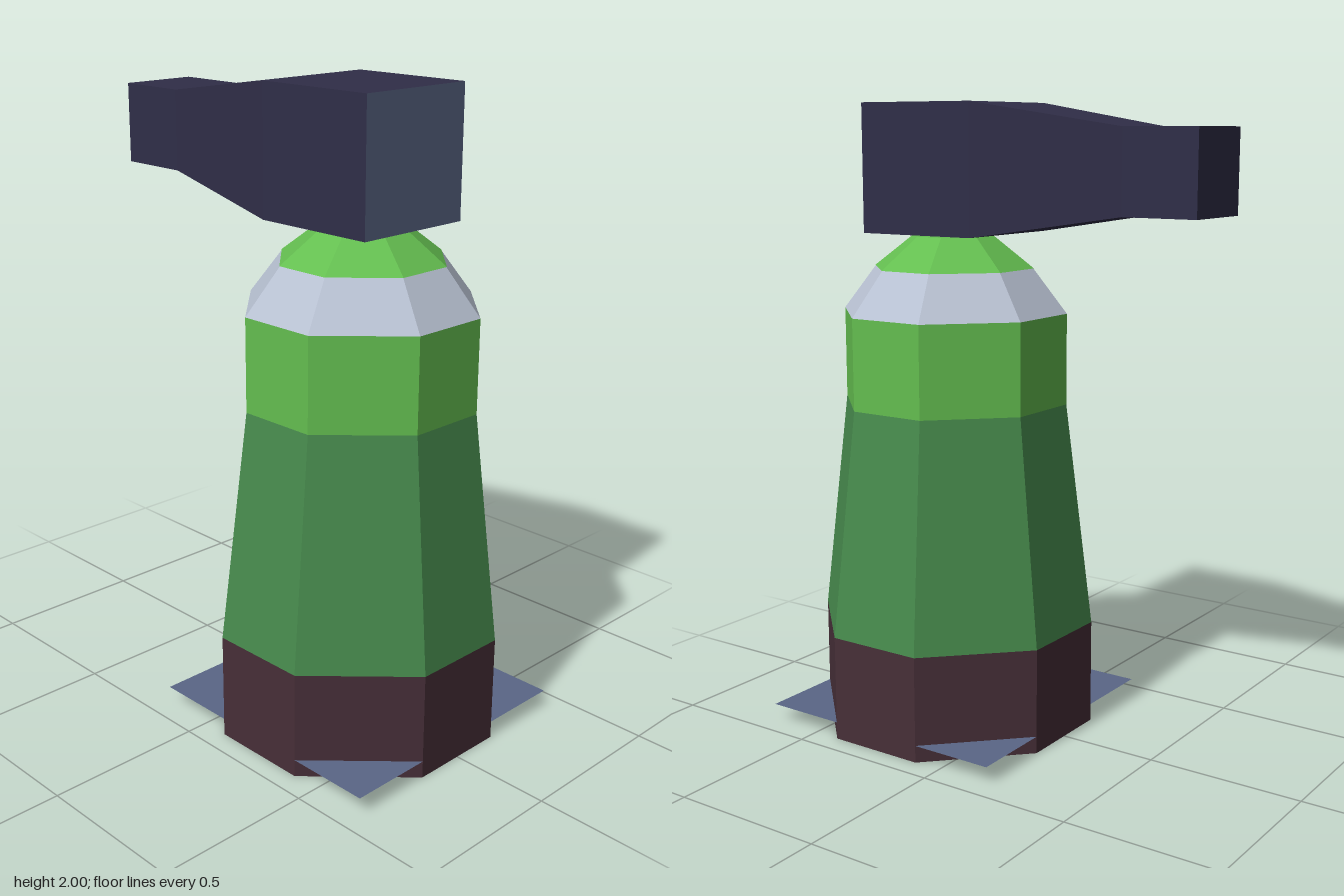
import * as THREE from 'three';

const mat = (name, color, extra = {}) => {
  const m = new THREE.MeshStandardMaterial({ color, flatShading: true, ...extra });
  m.name = name;
  return m;
};

// Joins equal-sized rings of points into a faceted solid.
// paint(section, side) gives a material index; sections 'start' and 'end' are the caps.
function loft(name, rings, materials, paint = () => 0) {
  const pos = [];
  const geo = new THREE.BufferGeometry();
  const add = (slot, ...tri) => {
    geo.addGroup(pos.length / 3, tri.length, slot);
    tri.forEach((p) => pos.push(...p));
  };
  const n = rings[0].length;
  for (let s = 0; s < rings.length - 1; s++) {
    const a = rings[s], b = rings[s + 1];
    for (let i = 0; i < n; i++) {
      const j = (i + 1) % n;
      add(paint(s, i), a[i], b[i], b[j], a[i], b[j], a[j]);
    }
  }
  const first = rings[0], last = rings[rings.length - 1];
  for (let i = 1; i < n - 1; i++) {
    add(paint('start', i), first[0], first[i], first[i + 1]);
    add(paint('end', i), last[0], last[i + 1], last[i]);
  }
  geo.setAttribute('position', new THREE.Float32BufferAttribute(pos, 3));
  geo.computeVertexNormals();
  const mesh = new THREE.Mesh(geo, materials);
  mesh.name = name;
  return mesh;
}

// Eight-sided ring with half width a
function octagon(a, y) {
  const h = a * 0.372;
  return [[a, -h], [a, h], [h, a], [-h, a], [-a, h], [-a, -h], [-h, -a], [h, -a]]
    .map(([x, z]) => [x, y, z]);
}

// Square ring across the x axis
const square = (x, r, y = 1.8) =>
  [[-r, r], [r, r], [r, -r], [-r, -r]].map(([dy, z]) => [x, y + dy, z]);

export function createModel() {
  const model = new THREE.Group();
  model.name = 'model';
  const slate = mat('slate', 0x5a6686, { side: THREE.DoubleSide });
  const navy = mat('navy', 0x302e48);
  const brown = mat('brown', 0x472f38);
  const darkGreen = mat('dark green', 0x478b4d);
  const lightGreen = mat('light green', 0x64be50);
  const grey = mat('grey', 0xb8c1d2);

  // Faceted body, stacked upward
  const body = new THREE.Group();
  body.name = 'body';
  body.position.x = 0.25;
  const base = loft('base', [octagon(0.43, 0), octagon(0.43, 0.34)], [brown, slate],
    (s) => (s === 'start' ? 1 : 0));
  body.add(
    base,
    loft('lowerBody', [octagon(0.43, 0.34), octagon(0.347, 1.06)], [darkGreen]),
    loft('upperBand', [octagon(0.347, 1.06), octagon(0.347, 1.35)], [lightGreen]),
    loft('shoulder', [octagon(0.347, 1.35), octagon(0.245, 1.49)], [grey]),
    loft('cap', [octagon(0.247, 1.49), octagon(0.125, 1.59)], [lightGreen]),
  );

  // Thin square plate showing at the four corners of the base
  const plate = new THREE.Mesh(new THREE.PlaneGeometry(0.86, 0.86).rotateX(-Math.PI / 2), slate);
  plate.name = 'basePlate';
  plate.position.y = 0.055;
  body.add(plate);

  // Tapered head: slate on the broad end and the flat undersides
  const head = loft('head',
    [square(-0.68, 0.126), square(-0.44, 0.126), square(0.04, 0.2), square(0.45, 0.2)],
    [navy, slate],
    (s, i) => (s === 'end' || (i === 3 && (s === 0 || s === 2)) ? 1 : 0));

  model.add(body, head);
  return model;
}
